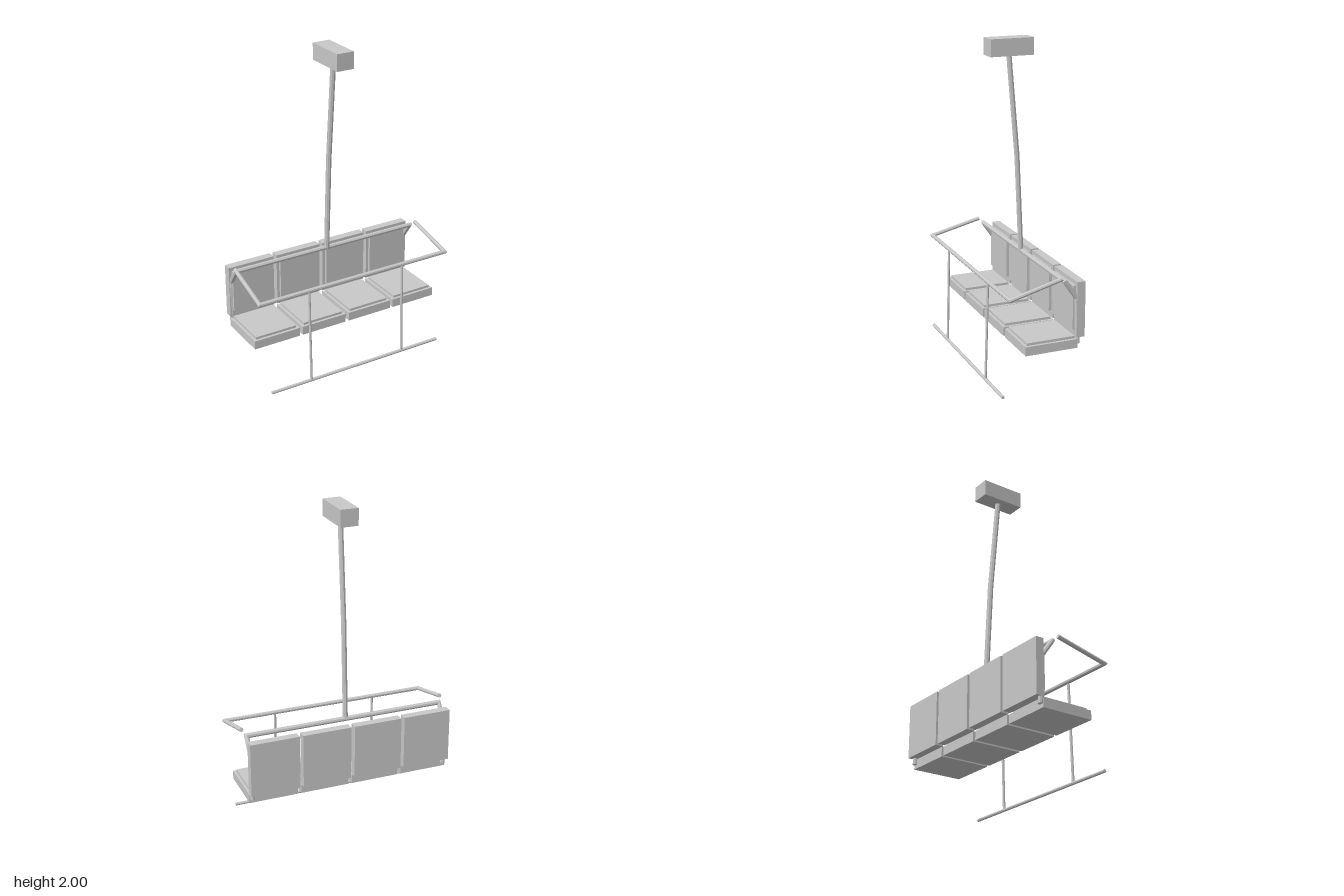
import * as THREE from 'three';

const steel = new THREE.MeshStandardMaterial({ color: 0xc8c8c8 });
steel.name = 'light grey steel';

function add(parent, name, geometry, x = 0, y = 0, z = 0) {
  const mesh = new THREE.Mesh(geometry, steel);
  mesh.name = name;
  mesh.position.set(x, y, z);
  parent.add(mesh);
  return mesh;
}

// Straight-sided pipe along a list of points, with mitred corners and closed ends
function pipe(points, radius, sides = 8) {
  const path = points.map((p) => new THREE.Vector3(...p));
  const last = path.length - 1;
  const dirs = path.slice(1).map((p, i) => p.clone().sub(path[i]).normalize());
  const up = Math.abs(dirs[0].y) > 0.9 ? new THREE.Vector3(0, 0, 1) : new THREE.Vector3(0, 1, 0);
  const u = up.cross(dirs[0]).normalize();
  const v = dirs[0].clone().cross(u);

  // First ring is square to the path; each next ring slides along to its mitre plane
  let ring = Array.from({ length: sides }, (_, k) => {
    const a = (k / sides) * Math.PI * 2;
    return path[0].clone().addScaledVector(u, Math.cos(a) * radius).addScaledVector(v, Math.sin(a) * radius);
  });
  const rings = [ring];
  for (let i = 1; i <= last; i++) {
    const d = dirs[i - 1];
    const normal = i < last ? d.clone().add(dirs[i]).normalize() : d;
    ring = ring.map((p) => {
      const t = path[i].clone().sub(p).dot(normal) / d.dot(normal);
      return p.clone().addScaledVector(d, t);
    });
    rings.push(ring);
  }

  const tris = [];
  for (let k = 0; k < sides; k++) {
    const n = (k + 1) % sides;
    for (let i = 0; i < last; i++) {
      const [a, b, c, d] = [rings[i][k], rings[i][n], rings[i + 1][n], rings[i + 1][k]];
      tris.push(a, b, c, a, c, d);
    }
    tris.push(path[0], rings[0][n], rings[0][k]);
    tris.push(path[last], rings[last][k], rings[last][n]);
  }
  const geometry = new THREE.BufferGeometry().setFromPoints(tris);
  geometry.computeVertexNormals();
  return geometry;
}

// One seat: base and backrest, each with a slightly smaller raised pad
function makeSeat(x) {
  const seat = new THREE.Group();
  seat.name = 'seat';
  seat.position.x = x;
  add(seat, 'seatBase', new THREE.BoxGeometry(0.309, 0.055, 0.33), 0, 0.2925, -0.043);
  add(seat, 'seatPad', new THREE.BoxGeometry(0.274, 0.03, 0.3), 0, 0.32, -0.045);
  add(seat, 'backrest', new THREE.BoxGeometry(0.309, 0.34, 0.052), 0, 0.5, -0.226);
  add(seat, 'backrestPad', new THREE.BoxGeometry(0.274, 0.27, 0.03), 0, 0.51, -0.197);
  return seat;
}

export function createModel() {
  const model = new THREE.Group();
  model.name = 'chairlift';

  // Cable grip and slightly bent hanger
  add(model, 'gripBox', new THREE.BoxGeometry(0.112, 0.104, 0.275), 0, 1.948, -0.045);
  add(model, 'hangerPole', pipe([[0, 1.92, -0.043], [0, 1.28, -0.099], [0, 0.675, -0.127]], 0.017));

  // Seat frame: top crossbar, bent back and down behind the outer seats
  const side = (s) => [[0.633 * s, 0.29, -0.214], [0.633 * s, 0.57, -0.205], [0.633 * s, 0.675, -0.131]];
  add(model, 'seatFrame', pipe([...side(-1), ...side(1).reverse()], 0.015));

  for (const x of [-0.496, -0.166, 0.166, 0.496]) model.add(makeSeat(x));

  // Safety bar with footrest
  const safety = new THREE.Group();
  safety.name = 'safetyBar';
  model.add(safety);
  add(safety, 'lapBar', pipe([
    [-0.654, 0.705, -0.103], [-0.661, 0.622, 0.222], [0.661, 0.622, 0.222], [0.654, 0.705, -0.103],
  ], 0.013));
  for (const x of [-0.332, 0.332]) {
    add(safety, 'footrestStrut', pipe([[x, 0.62, 0.226], [x, 0.011, 0.243]], 0.008));
  }
  add(safety, 'footrest', pipe([[-0.606, 0.01, 0.243], [0.606, 0.01, 0.243]], 0.01));

  return model;
}
